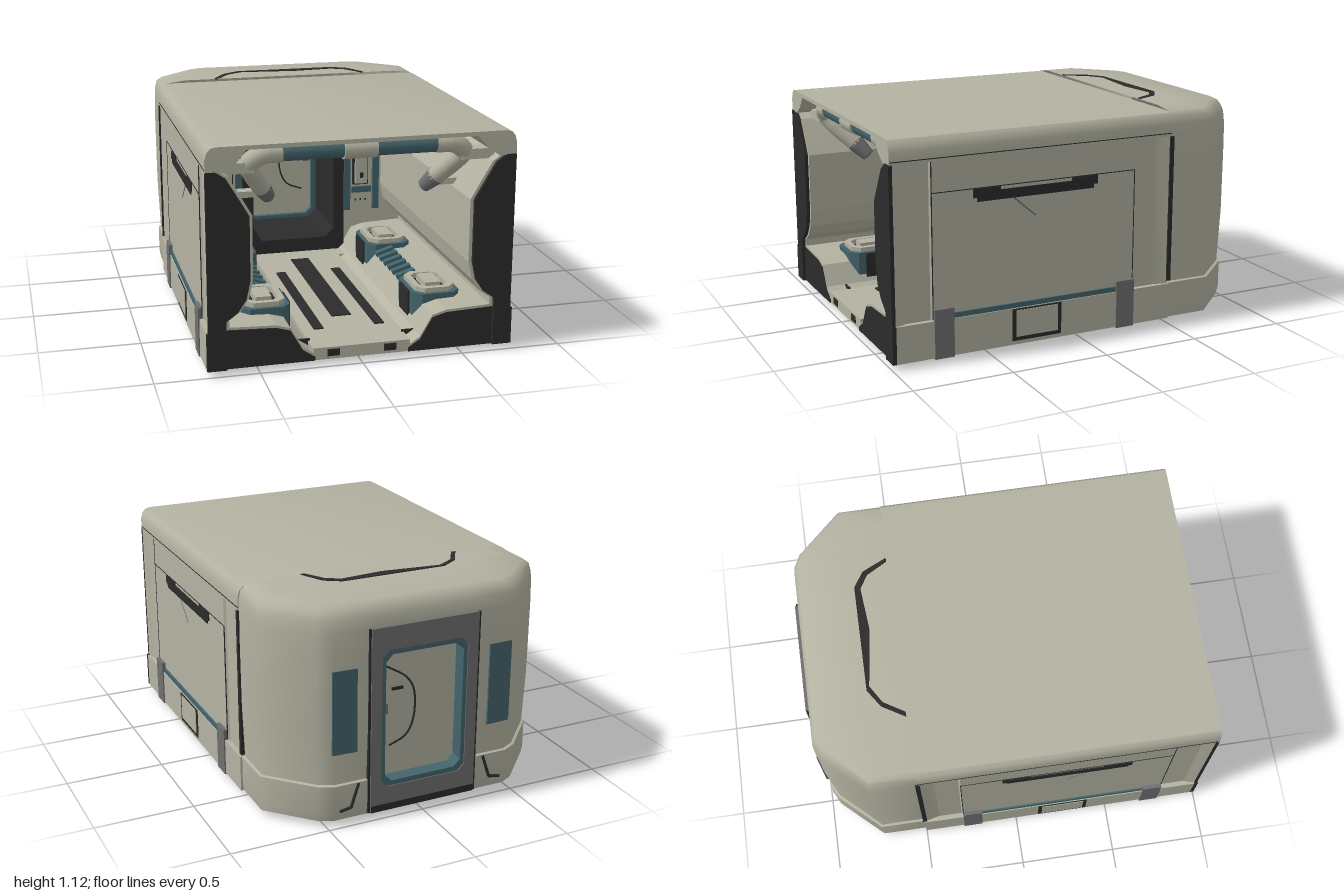
import * as THREE from 'three';
import { toCreasedNormals } from 'three/addons/utils/BufferGeometryUtils.js';

const mat = (name, color, side = THREE.FrontSide) => {
  const m = new THREE.MeshStandardMaterial({ color, side });
  m.name = name;
  return m;
};

export function createModel() {
  const root = new THREE.Group();
  root.name = 'habitatModule';
  const beige = mat('beigePanel', 0xb4b3a2), shellMat = mat('beigeShell', 0xb4b3a2, THREE.DoubleSide);
  const dark = mat('darkRubber', 0x2b2b2b), grey = mat('greyMetal', 0x6f6f71), teal = mat('tealTrim', 0x43646c);

  const add = (name, geo, m, x = 0, y = 0, z = 0) => {
    const mesh = new THREE.Mesh(geo, m);
    mesh.name = name;
    mesh.position.set(x, y, z);
    root.add(mesh);
    return mesh;
  };
  // box given by its limits
  const box = (name, m, x0, x1, y0, y1, z0, z1) =>
    add(name, new THREE.BoxGeometry(Math.abs(x1 - x0), y1 - y0, z1 - z0), m, (x0 + x1) / 2, (y0 + y1) / 2, (z0 + z1) / 2);
  const shapeOf = (pts, s = 1) => new THREE.Shape(pts.map(([x, y]) => new THREE.Vector2(x * s, y)));
  const extrude = (name, m, shape, z0, z1) =>
    add(name, new THREE.ExtrudeGeometry(shape, { depth: z1 - z0, bevelEnabled: false }), m, 0, 0, z0);
  // plan outline [x, z] raised from y0 to y1
  const prism = (name, m, pts, y0, y1, s = 1) => {
    const g = new THREE.ExtrudeGeometry(shapeOf(pts.map(([x, z]) => [x, -z]), s), { depth: y1 - y0, bevelEnabled: false });
    return add(name, toCreasedNormals(g.rotateX(-Math.PI / 2), 0.7), m, 0, y0, 0);
  };
  // rectangle with cut corners
  const cutRect = (x, y0, y1, c) => [[-x + c, y0], [x - c, y0], [x, y0 + c], [x, y1 - c], [x - c, y1], [-x + c, y1], [-x, y1 - c], [-x, y0 + c]];
  const frame = (outer, inner) => {
    const s = shapeOf(outer);
    s.holes.push(shapeOf(inner));
    return s;
  };
  const rod = (name, m, a, b, r0, r1 = r0) => {
    const A = new THREE.Vector3(...a), d = new THREE.Vector3(...b).sub(A);
    const mesh = add(name, new THREE.CylinderGeometry(r1, r0, d.length(), 16), m);
    mesh.position.copy(A).addScaledVector(d, 0.5);
    mesh.quaternion.setFromUnitVectors(new THREE.Vector3(0, 1, 0), d.normalize());
  };

  // rear cabin: plan outline lofted through levels [y, side inset, back inset], open behind the door
  const half = [[0.74, -0.5], [0.74, -0.735], [0.54, -0.95], [0.47, -0.985], [0.25, -0.985]];
  const plan = [...half, ...half.map(([x, z]) => [-x, z]).reverse()];
  const loft = (name, levels) => {
    const rings = levels.map(([y, dx, dz]) => plan.map(([x, z]) =>
      [x * (0.74 - dx) / 0.74, y, -0.5 + (z + 0.5) * (0.485 - dz) / 0.485]));
    const v = [];
    const n = plan.length, last = rings.length - 1;
    for (let j = 0; j < last; j++) for (let i = 0; i < n - 1; i++) {
      if (i === half.length - 1 && levels[j][0] >= 0.07 && levels[j + 1][0] <= 0.9) continue;
      const a = rings[j], b = rings[j + 1];
      v.push(...a[i], ...a[i + 1], ...b[i], ...a[i + 1], ...b[i + 1], ...b[i]);
    }
    const fan = (ring, y, up) => {
      for (let i = 0; i < n - 1; i++) v.push(0, y, -0.5, ...ring[up ? i : i + 1], ...ring[up ? i + 1 : i]);
    };
    if (name === 'rearSkirt') fan(rings[0], levels[0][0], false);
    else fan(rings[last], levels[last][0], true);
    const g = new THREE.BufferGeometry();
    g.setAttribute('position', new THREE.Float32BufferAttribute(v, 3));
    add(name, toCreasedNormals(g, 0.85), shellMat);
  };
  loft('rearSkirt', [[0.03, 0.006, 0.012], [0.07, 0, 0], [0.215, 0, 0], [0.22, 0.012, 0.012]]);
  loft('rearCabin', [[0.215, 0.012, 0.012], [0.5, 0.002, 0], [0.88, 0, 0], [0.98, 0.002, 0.002],
    [1.04, 0.005, 0.01], [1.08, 0.015, 0.03], [1.1, 0.04, 0.065], [1.113, 0.14, 0.3]]);
  // roof recess edge
  prism('roofRecessEdge', dark, [[-0.43, -0.505], [-0.36, -0.62], [-0.27, -0.68], [0.28, -0.68], [0.36, -0.63], [0.42, -0.505],
    [0.4, -0.505], [0.34, -0.61], [0.27, -0.65], [0.05, -0.63], [-0.25, -0.665], [-0.34, -0.61], [-0.405, -0.505]], 1.11, 1.117);

  // roof with rounded edges and a hollow underside
  const roofHalf = [[0.742, 0.99], [0.742, 1.04], [0.732, 1.075], [0.715, 1.094], [0.69, 1.1]];
  const roofIn = [[0.55, 1.08], [0.6, 1.02], [0.66, 0.98], [0.742, 0.98]];
  const flip = (p) => p.map(([x, y]) => [-x, y]).reverse();
  const roof = extrude('roof', beige, shapeOf([...roofHalf, ...flip(roofHalf), ...flip(roofIn), ...roofIn]), -0.5, 0.995);
  roof.geometry = toCreasedNormals(roof.geometry, 0.6);

  const lining = [[0.725, 0.2], [0.725, 0.985], [0.68, 0.985], [0.63, 0.95], [0.565, 0.84], [0.525, 0.77], [0.525, 0.46], [0.545, 0.37], [0.585, 0.31], [0.64, 0.27], [0.64, 0.2]];
  const endCap = lining.map(([x, y]) => [x > 0.7 ? 0.742 : x + 0.016, y]);
  const benchTop = [[0.23, 0.06], [0.29, 0.1], [0.35, 0.205], [0.42, 0.225], [0.66, 0.235]];

  for (const s of [-1, 1]) {
    const side = s > 0 ? 'left' : 'right';
    const sb = (name, m, x0, x1, ...r) => box(side + name, m, s * x0, s * x1, ...r);

    // side wall: inner lining, outer skin with hollowed pillars, dark end
    extrude(side + 'Lining', beige, shapeOf(lining, s), -0.5, 0.98);
    extrude(side + 'EndCap', dark, shapeOf(endCap, s), 0.98, 0.998);
    prism(side + 'OuterSkin', beige, [[0.7, 0.98], [0.742, 0.98], [0.736, 0.95], [0.72, 0.91], [0.718, 0.86], [0.724, 0.8], [0.736, 0.79],
      [0.736, -0.29], [0.724, -0.3], [0.72, -0.36], [0.726, -0.43], [0.742, -0.495], [0.7, -0.495]], 0.2, 0.985, s);
    sb('Skirt', beige, 0.655, 0.75, 0.03, 0.215, -0.5, 0.98);
    sb('SkirtEnd', dark, 0.655, 0.75, 0.03, 0.215, 0.98, 1);
    sb('RoofSeam', dark, 0.73, 0.744, 0.993, 0.997, -0.5, 0.99);
    sb('CabinSeam', dark, 0.7, 0.748, 0.23, 0.98, -0.51, -0.488);
    sb('PanelTopSeam', dark, 0.73, 0.738, 0.828, 0.832, -0.29, 0.79);
    for (const z of [-0.29, 0.79]) sb('PanelSideSeam', dark, 0.73, 0.738, 0.22, z > 0 ? 0.985 : 0.83, z - 0.002, z + 0.002);
    // grip slot
    sb('GripSlot', dark, 0.73, 0.742, 0.765, 0.812, -0.06, 0.56);
    for (const z of [-0.01, 0.51]) sb('GripSlotEnd', dark, 0.73, 0.743, 0.785, 0.828, z - 0.07, z + 0.07);
    rod(side + 'PanelMark', grey, [s * 0.735, 0.765, 0.37], [s * 0.735, 0.665, 0.255], 0.004);
    // skirt fittings
    for (const z of [-0.24, 0.74]) sb('Clamp', grey, 0.7, 0.756, 0.025, 0.27, z - 0.05, z + 0.05);
    sb('TealStrip', teal, 0.7, 0.745, 0.215, 0.24, -0.19, 0.69);
    sb('HatchRim', dark, 0.7, 0.754, 0.05, 0.212, 0.12, 0.385);
    sb('Hatch', beige, 0.7, 0.757, 0.07, 0.205, 0.14, 0.365);

    // bench over an open trench, with ribs and two framed mounts
    const under = benchTop.map(([x, y]) => [x, y - 0.025]).reverse();
    const endTop = benchTop.map(([x, y]) => [x, y - 0.012]).reverse();
    extrude(side + 'Bench', beige, shapeOf([...benchTop, ...under], s), -0.48, 0.98);
    extrude(side + 'BenchEnd', dark, shapeOf([[0.23, 0.03], [0.66, 0.03], ...endTop], s), 0.965, 0.985);
    sb('TrenchFront', dark, 0.23, 0.66, 0, 0.1, 0.87, 0.88);
    sb('TrenchLip', beige, 0.23, 0.66, 0, 0.05, 0.85, 0.87);
    sb('FrontUnderside', beige, 0.23, 0.66, 0.03, 0.05, 0.88, 0.97);
    sb('OuterRail', beige, 0.62, 0.66, 0, 0.2, -0.38, 0.85);
    sb('InnerRail', beige, 0.23, 0.26, 0, 0.06, -0.38, 0.85);
    sb('TrenchBack', beige, 0.23, 0.66, 0.03, 0.09, -0.5, -0.34);
    for (let i = 0; i < 7; i++) {
      const rib = sb('Rib', teal, 0.345, 0.445, 0.18, 0.24, 0.045 + i * 0.075, 0.08 + i * 0.075);
      rib.rotation.z = s * 0.3;
    }
    for (const z of [-0.12, 0.68]) {
      const ring = (name, m, w, d, y0, y1) => {
        const g = new THREE.ExtrudeGeometry(frame(cutRect(w, -d, d, 0.04), cutRect(w - 0.03, 0.03 - d, d - 0.03, 0.03)), { depth: y1 - y0, bevelEnabled: false });
        add(side + name, g.rotateX(-Math.PI / 2), m, s * 0.43, y0, z);
      };
      ring('MountLowerFrame', dark, 0.095, 0.125, 0.085, 0.13);
      ring('MountCollar', teal, 0.12, 0.15, 0.115, 0.255);
      ring('MountUpperFrame', beige, 0.1, 0.13, 0.24, 0.278);
      sb('MountCore', teal, 0.35, 0.51, 0.125, 0.2, z - 0.12, z + 0.12);
      sb('MountWell', dark, 0.35, 0.51, 0.2, 0.25, z - 0.12, z + 0.12);
      sb('MountPad', beige, 0.39, 0.47, 0.2, 0.285, z - 0.07, z + 0.07);
      sb('MountFoot', beige, 0.39, 0.47, 0.1, 0.14, z - 0.06, z + 0.06);
      sb('MountHook', dark, 0.3, 0.315, 0.12, 0.25, z - 0.07, z + 0.07);
    }

    // bulkhead panels
    sb('BulkheadPanel', beige, 0.3, 0.52, 0.3, 0.86, -0.49, -0.46);
    sb('BulkheadOuterTrim', teal, 0.468, 0.505, 0.32, 0.86, -0.47, -0.44);
    sb('BulkheadInnerTrim', teal, 0.298, 0.335, 0.32, 0.86, -0.47, -0.44);
    sb('BulkheadTealBase', teal, 0.345, 0.46, 0.42, 0.455, -0.47, -0.445);
    sb('LampRim', dark, 0.35, 0.44, 0.47, 0.75, -0.47, -0.44);
    sb('Lamp', beige, 0.36, 0.43, 0.48, 0.74, -0.45, -0.42);
    for (const y of [0.53, 0.69]) sb('LampStud', dark, 0.385, 0.405, y - 0.015, y + 0.015, -0.43, -0.415);
    for (const x of [0.37, 0.4, 0.43]) sb('PanelStud', dark, x - 0.005, x + 0.005, 0.37, 0.38, -0.465, -0.455);
    sb('CeilingLampRim', dark, 0.24, 0.37, 0.93, 0.995, -0.46, -0.42);
    sb('CeilingLamp', beige, 0.25, 0.36, 0.938, 0.988, -0.43, -0.41);
    rod(side + 'LintelStrut', beige, [s * 0.15, 0.93, -0.42], [s * 0.1, 0.82, -0.42], 0.025);

    // front rail with elbow and leg
    rod(side + 'Rail', teal, [s * 0.08, 1.035, 0.9], [s * 0.38, 1.035, 0.9], 0.042);
    const bend = new THREE.CatmullRomCurve3([[0.37, 1.035, 0.9], [0.46, 1.03, 0.9], [0.52, 0.985, 0.88], [0.49, 0.92, 0.83], [0.43, 0.83, 0.74]]
      .map(([x, y, z]) => new THREE.Vector3(s * x, y, z)));
    add(side + 'Elbow', new THREE.TubeGeometry(bend, 20, 0.046, 14), beige);
    rod(side + 'LegJoint', grey, [s * 0.435, 0.835, 0.745], [s * 0.39, 0.77, 0.69], 0.048, 0.034);
    sb('ElbowBracket', beige, 0.5, 0.66, 0.95, 1.0, 0.84, 0.92);
    sb('LegBracket', beige, 0.4, 0.56, 0.78, 0.81, 0.67, 0.73);

    // rear windows and skirt steps
    const pane = add(side + 'RearWindow', new THREE.BoxGeometry(0.125, 0.42, 0.02), teal, s * 0.415, 0.59, -0.98);
    pane.rotation.y = -s * 0.06;
    rod(side + 'SkirtStep', dark, [s * 0.34, 0.21, -0.983], [s * 0.38, 0.09, -0.985], 0.008);
    rod(side + 'SkirtStepBase', dark, [s * 0.38, 0.09, -0.985], [s * 0.44, 0.08, -0.985], 0.008);
    sb('SillSlot', dark, 0.11, 0.17, 0.045, 0.08, 0.97, 0.984);
    sb('RearBellyVent', dark, 0.36, 0.56, 0.022, 0.032, -0.72, -0.58);
    sb('FloorGrip', dark, 0.13, 0.18, 0.085, 0.096, -0.1, 0.75);
    sb('RearDoorSeam', dark, 0.282, 0.294, 0.04, 0.98, -0.992, -0.96);
  }
  rod('railCollar', beige, [-0.08, 1.035, 0.9], [0.08, 1.035, 0.9], 0.05);

  // floor and underside
  box('floor', beige, -0.24, 0.24, 0.03, 0.09, -0.5, 0.98);
  box('floorMat', dark, -0.05, 0.05, 0.085, 0.096, -0.3, 0.6);
  box('rearBellyRim', dark, -0.29, 0.29, 0.024, 0.032, -0.91, -0.52);
  box('rearBellyPanel', beige, -0.275, 0.275, 0.02, 0.03, -0.895, -0.535);

  // bulkhead and inner doorway
  extrude('bulkhead', beige, frame([[-0.7, 0.04], [0.7, 0.04], [0.7, 1.05], [-0.7, 1.05]], cutRect(0.25, 0.1, 0.88, 0.04)), -0.505, -0.485);
  extrude('doorway', dark, frame(cutRect(0.295, 0.092, 0.9, 0.03), cutRect(0.235, 0.17, 0.86, 0.05)), -0.88, -0.44);
  extrude('lintelUnit', dark, shapeOf([[-0.2, 0.99], [-0.1, 0.87], [0.1, 0.87], [0.2, 0.99]]), -0.46, -0.42);
  box('lintelTrim', teal, -0.075, 0.075, 0.77, 0.84, -0.46, -0.4);
  box('lintelBox', dark, -0.06, 0.06, 0.785, 0.92, -0.46, -0.38);
  box('lintelLamp', beige, -0.045, 0.045, 0.86, 0.91, -0.4, -0.37);

  // door set back in its rear frame
  extrude('rearDoorFrame', grey, frame([[-0.283, 0.04], [0.283, 0.04], [0.283, 0.98], [-0.283, 0.98]], cutRect(0.227, 0.165, 0.865, 0.035)), -0.998, -0.88);
  box('rearDoorSill', dark, -0.28, 0.28, 0.04, 0.075, -1, -0.97);
  extrude('doorTrim', teal, frame(cutRect(0.234, 0.163, 0.867, 0.04), cutRect(0.206, 0.19, 0.84, 0.035)), -0.993, -0.86);
  extrude('doorPanel', beige, shapeOf(cutRect(0.225, 0.18, 0.85, 0.04)), -0.92, -0.89);
  for (const [name, f] of [['inner', -0.888], ['outer', -0.922]]) {
    const curve = new THREE.CatmullRomCurve3([[0.18, 0.76], [0.06, 0.68], [0.02, 0.61], [0.02, 0.46], [0.06, 0.38], [0.15, 0.34]]
      .map(([x, y]) => new THREE.Vector3(x, y, f)));
    add(name + 'DoorOutline', new THREE.TubeGeometry(curve, 24, 0.005, 6), dark);
    box(name + 'DoorLatch', dark, 0.08, 0.14, 0.625, 0.64, f - 0.005, f + 0.005);
    box(name + 'DoorHandle', grey, 0.16, 0.195, 0.51, 0.56, f - 0.005, f + 0.005);
  }
  return root;
}
